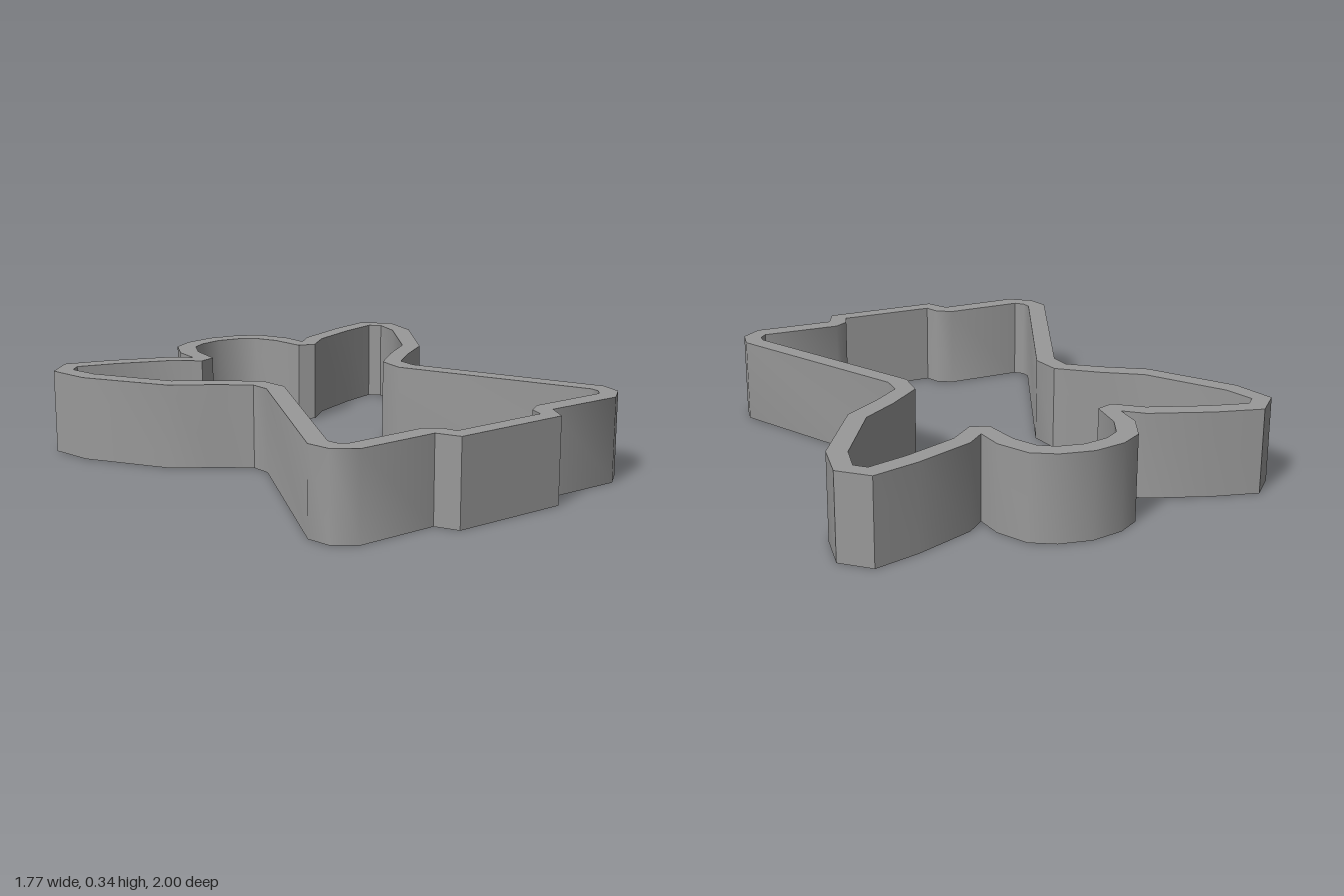
import * as THREE from 'three';
import { toCreasedNormals } from 'three/addons/utils/BufferGeometryUtils.js';

const HEIGHT = 0.34;

// Half outlines as (x, z), from the top of the head to the hem; mirrored across x = 0
const OUTER = [
  [0, -1], [0.13, -0.975], [0.22, -0.92], [0.28, -0.795], [0.288, -0.68], // head
  [0.36, -0.745], [0.6, -0.84], [0.785, -0.89], [0.887, -0.79], [0.85, -0.61], // wing
  [0.645, -0.285], [0.49, -0.18], [0.375, -0.085], [0.37, 0], // waist
  [0.717, 0.755], [0.697, 0.85], [0.615, 0.915], [0.285, 0.91], [0.24, 1], // skirt and feet
];
const INNER = [
  [0, -0.925], [0.1, -0.905], [0.16, -0.865], [0.205, -0.77], [0.225, -0.62],
  [0.295, -0.595], [0.395, -0.68], [0.61, -0.765], [0.77, -0.81], [0.81, -0.77], [0.78, -0.645],
  [0.595, -0.345], [0.445, -0.24], [0.305, -0.12], [0.29, 0.005],
  [0.64, 0.765], [0.635, 0.805], [0.607, 0.835], [0.28, 0.83], [0.22, 0.87], [0.2, 0.93],
];

function mirrored(half) {
  const left = half.slice(1).reverse().map(([x, z]) => [-x, z]);
  return [...half, ...left].map(([x, z]) => new THREE.Vector2(x, z));
}

export function createModel() {
  const group = new THREE.Group();
  group.name = 'cookieCutter';
  const grey = new THREE.MeshStandardMaterial({ color: 0x999999 });
  grey.name = 'grey';

  // Upright wall following the winged outline
  const shape = new THREE.Shape(mirrored(OUTER));
  shape.holes.push(new THREE.Path(mirrored(INNER)));
  const geometry = new THREE.ExtrudeGeometry(shape, { depth: HEIGHT, bevelEnabled: false });
  geometry.rotateX(Math.PI / 2).translate(0, HEIGHT, 0);

  const wall = new THREE.Mesh(toCreasedNormals(geometry, 0.7), grey);
  wall.name = 'cutterWall';
  group.add(wall);
  return group;
}
